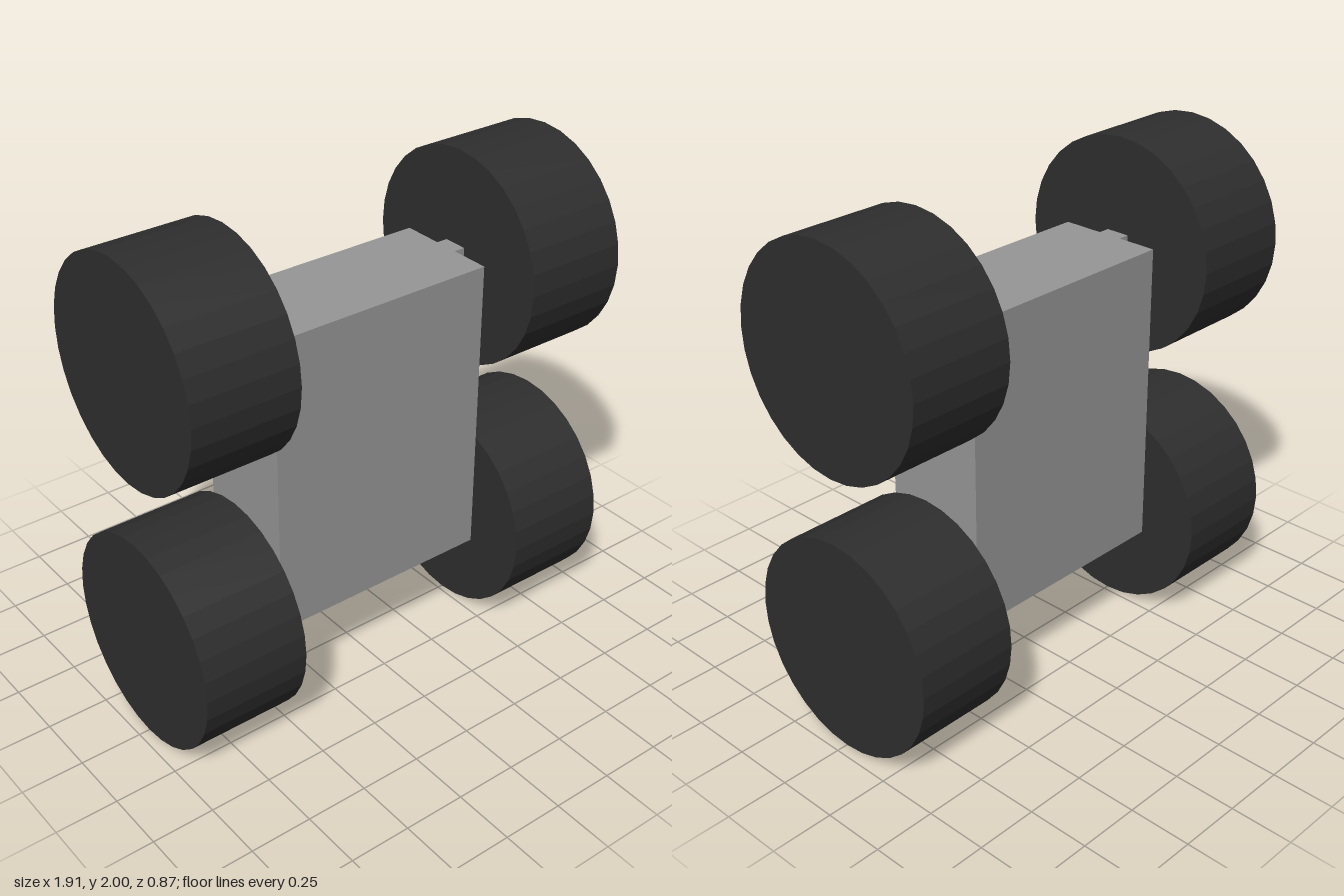
import * as THREE from 'three';

export function createModel() {
  const group = new THREE.Group();
  const bodyGrey = new THREE.MeshStandardMaterial({ color: 0x969696 });
  bodyGrey.name = 'bodyGrey';
  const tyreBlack = new THREE.MeshStandardMaterial({ color: 0x2e2e2e, flatShading: true });
  tyreBlack.name = 'tyreBlack';

  const add = (name, geometry, material, x, y) => {
    const mesh = new THREE.Mesh(geometry, material);
    mesh.name = name;
    mesh.position.set(x, y, 0);
    group.add(mesh);
  };

  // Upright block body
  add('chassis', new THREE.BoxGeometry(0.95, 1.235, 0.43), bodyGrey, 0, 1.0025);

  // Square axle stubs, flush with the body's ends, and solid wheels
  const radius = 0.434;
  const stub = new THREE.BoxGeometry(0.05, 0.1, 0.1);
  const wheel = new THREE.CylinderGeometry(radius, radius, 0.433, 32).rotateZ(Math.PI / 2);
  for (const [level, y] of [['lower', radius], ['upper', 2 - radius]]) {
    for (const [side, s] of [['Left', 1], ['Right', -1]]) {
      const axleY = level === 'lower' ? 0.435 : 1.57;
      add(`${level}${side}Axle`, stub, bodyGrey, s * 0.4975, axleY);
      add(`${level}${side}Wheel`, wheel, tyreBlack, s * 0.738, y);
    }
  }
  return group;
}
